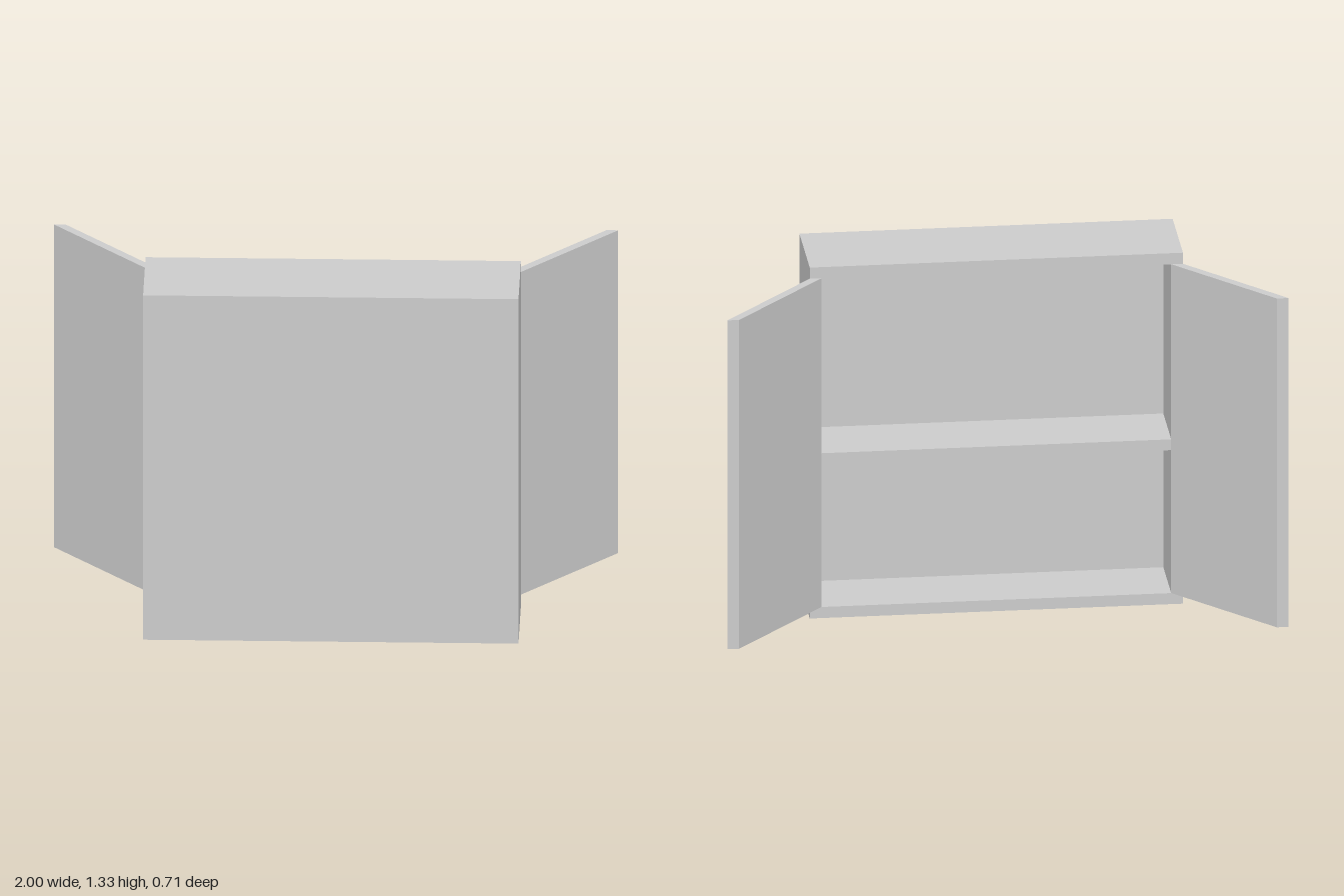
import * as THREE from 'three';

const W = 0.665, H = 1.333, T = 0.042; // half width, height, board thickness
const Z_OPEN = 0.02, Z_PANEL = 0.275, Z_FACE = 0.355;

export function createModel() {
  const group = new THREE.Group();
  const material = new THREE.MeshStandardMaterial({ color: 0xcccccc, flatShading: true });

  const add = (name, geometry) => {
    const mesh = new THREE.Mesh(geometry, material);
    mesh.name = name;
    group.add(mesh);
  };
  const board = (name, x0, x1, y0, y1, z0, z1) => add(name,
    new THREE.BoxGeometry(x1 - x0, y1 - y0, z1 - z0)
      .translate((x0 + x1) / 2, (y0 + y1) / 2, (z0 + z1) / 2));

  // Carcass, open towards -z, with a thick closed panel
  board('panel', -W, W, 0, H, Z_PANEL, Z_FACE);
  board('bottomBoard', -W, W, 0, T, Z_OPEN, Z_PANEL);
  board('topBoard', -W, W, H - T, H, Z_OPEN, Z_PANEL);
  board('leftSide', W - T, W, T, H - T, Z_OPEN, Z_PANEL);
  board('rightSide', -W, T - W, T, H - T, Z_OPEN, Z_PANEL);
  board('shelf', T - W, W - T, 0.585, 0.626, Z_OPEN, Z_PANEL);

  // Doors swung outwards, with a slanted plan and ends parallel to the panel
  for (const side of [1, -1]) {
    const plan = new THREE.Shape([
      [W - T, Z_OPEN], [W, Z_OPEN], [1, -0.355], [1 - T, -0.355],
    ].map(([x, z]) => new THREE.Vector2(side * x, -z)));
    const door = new THREE.ExtrudeGeometry(plan, { depth: H - 2 * T, bevelEnabled: false });
    door.rotateX(-Math.PI / 2).translate(0, T, 0);
    add(side > 0 ? 'leftDoor' : 'rightDoor', door);
  }
  return group;
}
